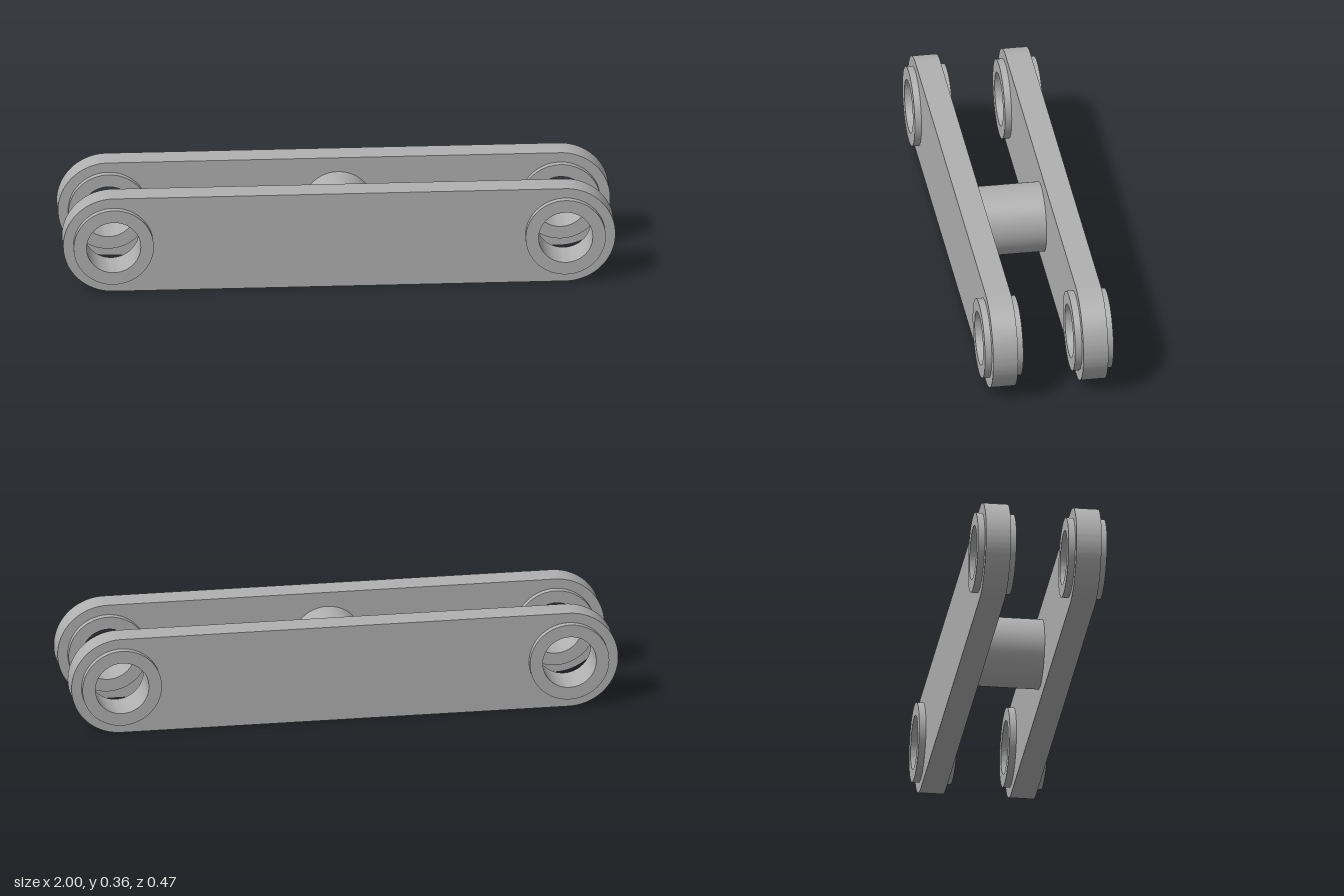
import * as THREE from 'three';
import { toCreasedNormals } from 'three/addons/utils/BufferGeometryUtils.js';

const CENTRE_Y = 0.1815; // height of the common axis
const PIVOT_X = 0.8185; // distance of each eye from the middle
const ARM_R = 0.1815, BUSH_R = 0.145, BORE_R = 0.098;

function circle(Type, x, radius) {
  return new Type().absarc(x, 0, radius, 0, Math.PI * 2, false);
}

// Extrudes a shape along z, centred on its own mid-plane, with smooth round walls
function slab(shape, depth) {
  const g = new THREE.ExtrudeGeometry(shape, { depth, bevelEnabled: false, curveSegments: 40 });
  g.translate(0, 0, -depth / 2);
  return toCreasedNormals(g, 0.6);
}

export function createModel() {
  const model = new THREE.Group();
  model.name = 'doubleLink';
  const steel = new THREE.MeshStandardMaterial({ color: 0xb0b0b0 });
  steel.name = 'grey steel';

  const add = (name, geometry, x, z) => {
    const mesh = new THREE.Mesh(geometry, steel);
    mesh.name = name;
    mesh.position.set(x, CENTRE_Y, z);
    model.add(mesh);
    return mesh;
  };

  // Round-ended arm with a seat for a bushing at each end
  const armShape = new THREE.Shape();
  armShape.absarc(PIVOT_X, 0, ARM_R, -Math.PI / 2, Math.PI / 2, false);
  armShape.absarc(-PIVOT_X, 0, ARM_R, Math.PI / 2, Math.PI * 1.5, false);
  armShape.closePath();
  armShape.holes.push(circle(THREE.Path, PIVOT_X, BUSH_R), circle(THREE.Path, -PIVOT_X, BUSH_R));
  const armGeometry = slab(armShape, 0.091);

  // Bored bushing standing proud on both faces of the arm
  const bushShape = circle(THREE.Shape, 0, BUSH_R);
  bushShape.holes.push(circle(THREE.Path, 0, BORE_R));
  const bushGeometry = slab(bushShape, 0.14);

  for (const [side, z] of [['front', 0.165], ['back', -0.165]]) {
    add(side + 'Arm', armGeometry, 0, z);
    add(side + 'LeftBushing', bushGeometry, PIVOT_X, z);
    add(side + 'RightBushing', bushGeometry, -PIVOT_X, z);
  }

  // Round spacer joining the arms, slightly off the middle
  const spacer = new THREE.CylinderGeometry(0.127, 0.127, 0.24, 64);
  spacer.rotateX(Math.PI / 2);
  add('spacer', spacer, 0.014, 0);

  return model;
}
